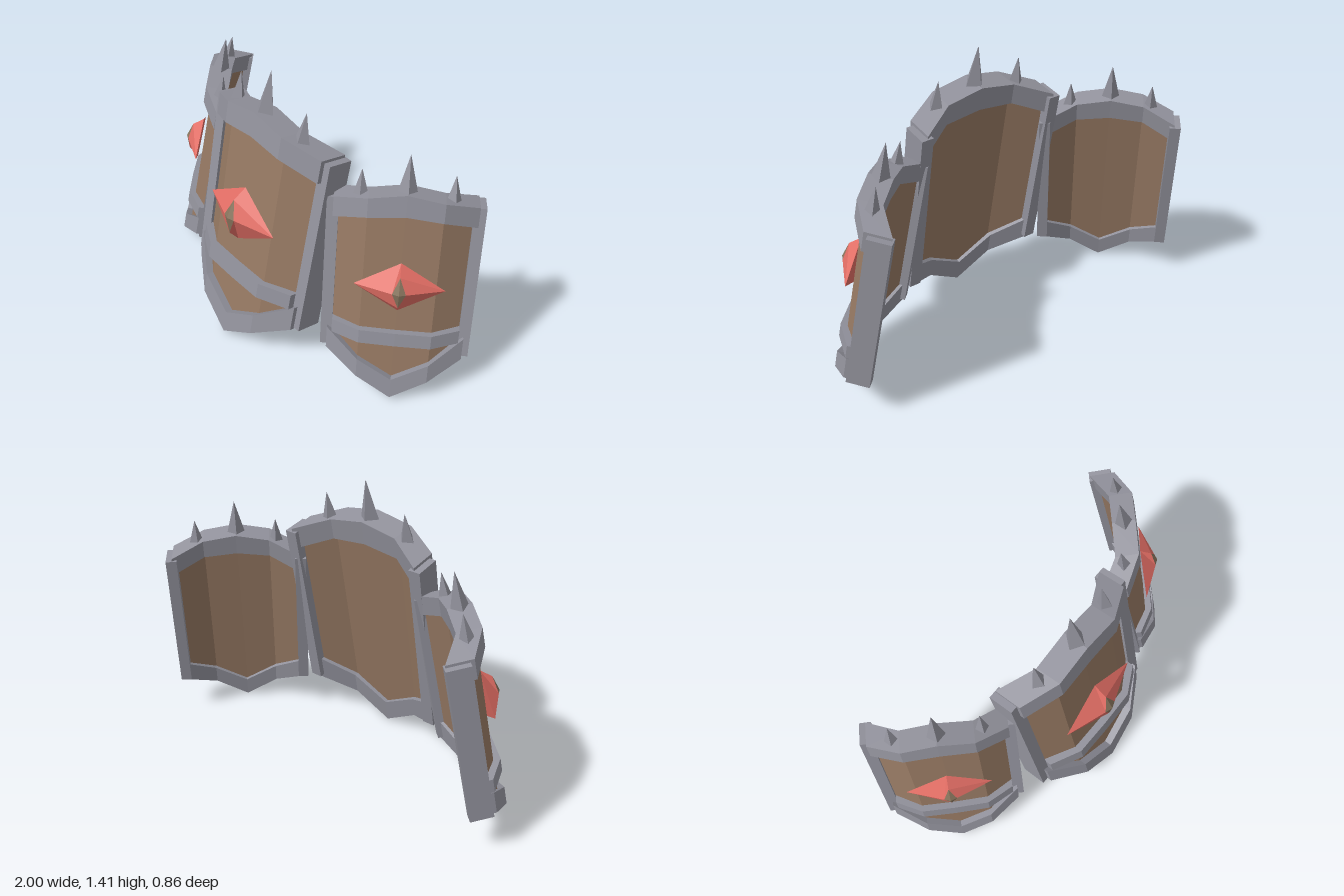
import * as THREE from 'three';

const mat = (name, color) => {
  const m = new THREE.MeshStandardMaterial({ color, flatShading: true });
  m.name = name;
  return m;
};

// Flat-shaded geometry from corner points and polygons (fans)
function facets(points, polygons) {
  const pos = [];
  for (const p of polygons)
    for (let i = 1; i < p.length - 1; i++)
      pos.push(...points[p[0]], ...points[p[i]], ...points[p[i + 1]]);
  const g = new THREE.BufferGeometry();
  g.setAttribute('position', new THREE.Float32BufferAttribute(pos, 3));
  g.computeVertexNormals();
  return g;
}

// Bent slab, mirrored in x. Each column, centre to edge: [x, yLow, yHigh, zFront, zBack]
function bentSlab(half) {
  const cols = [...half.slice(1).reverse().map(([x, ...r]) => [-x, ...r]), ...half];
  const points = cols.flatMap(([x, lo, hi, f, b]) =>
    [[x, lo, f], [x, hi, f], [x, hi, b], [x, lo, b]]);
  const polys = [[0, 1, 2, 3]];
  const last = (cols.length - 1) * 4;
  for (let i = 0; i < last; i += 4)
    for (let j = 0; j < 4; j++) {
      const k = (j + 1) % 4;
      polys.push([i + j, i + 4 + j, i + 4 + k, i + k]);
    }
  polys.push([last + 3, last + 2, last + 1, last]);
  return facets(points, polys);
}

export function createModel() {
  const steel = mat('steel', 0x92929c);
  const wood = mat('wood', 0x957862);
  const red = mat('eyelid red', 0xdf6c63);
  const iris = mat('iris brown', 0x86735c);

  const panelGeo = bentSlab([
    [0, 0.02, 1.12, 0.39, 0.325], [0.19, 0.12, 1.09, 0.386, 0.322], [0.345, 0.24, 1.04, 0.295, 0.23]]);
  const topGeo = bentSlab([
    [0, 1.064, 1.184, 0.428, 0.298], [0.19, 1.044, 1.151, 0.424, 0.294], [0.365, 0.99, 1.102, 0.335, 0.195]]);
  const bottomGeo = bentSlab([
    [0, -0.05, 0.068, 0.428, 0.306], [0.19, 0.07, 0.18, 0.424, 0.3], [0.365, 0.18, 0.31, 0.335, 0.2]]);
  const bandGeo = bentSlab([
    [0, 0.29, 0.37, 0.428, 0.36], [0.19, 0.29, 0.37, 0.424, 0.355], [0.338, 0.29, 0.37, 0.345, 0.265]]);
  const railGeo = new THREE.BoxGeometry(0.062, 0.9, 0.126);

  // Eye: outer diamond rising to a narrow slit with a ridged iris
  const eyePoints = [
    [0.235, 0, 0], [0, 0.142, 0], [-0.235, 0, 0], [0, -0.142, 0],
    [0.035, 0, 0.075], [0, 0.09, 0.06], [-0.035, 0, 0.075], [0, -0.09, 0.06],
    [0, 0, 0.088]];
  const ring = [0, 1, 2, 3];
  const lidGeo = facets(eyePoints, [[3, 2, 1, 0],
    ...ring.flatMap(k => {
      const n = (k + 1) % 4;
      return [[k, n, n + 4], [k, n + 4, k + 4]];
    })]);
  const irisGeo = facets(eyePoints, ring.map(k => [8, k + 4, (k + 1) % 4 + 4]));

  function makeShield(name) {
    const shield = new THREE.Group();
    shield.name = name;
    const tilt = new THREE.Group();
    tilt.name = 'tiltedShield';
    tilt.rotation.x = -0.188;
    shield.add(tilt);
    const add = (part, geo, m, x = 0, y = 0, z = 0) => {
      const mesh = new THREE.Mesh(geo, m);
      mesh.name = part;
      mesh.position.set(x, y, z);
      tilt.add(mesh);
      return mesh;
    };
    add('woodPanel', panelGeo, wood);
    add('topTrim', topGeo, steel);
    add('bottomTrim', bottomGeo, steel);
    add('crossBand', bandGeo, steel);
    for (const s of [-1, 1]) add('sideRail', railGeo, steel, s * 0.369, 0.638, 0.251);
    add('eyelid', lidGeo, red, 0, 0.654, 0.416);
    add('iris', irisGeo, iris, 0, 0.654, 0.416);

    // Spikes along the top edge: [x, base, tip, radius, z]
    for (const [x, base, tip, r, z] of [
      [-0.23, 1.09, 1.27, 0.05, 0.335], [0, 1.14, 1.376, 0.058, 0.362], [0.23, 1.09, 1.27, 0.05, 0.335]]) {
      const spike = add('spike', new THREE.ConeGeometry(r, tip - base, 4), steel, x, (base + tip) / 2, z);
      spike.rotation.y = x * 0.8 + 0.1;
    }
    return shield;
  }

  const model = new THREE.Group();
  model.name = 'shieldWall';
  model.add(makeShield('centreShield'));

  // Smaller shields angled back on each side
  for (const s of [-1, 1]) {
    const side = makeShield(s > 0 ? 'leftShield' : 'rightShield');
    side.scale.setScalar(0.86);
    side.rotation.y = s * 0.75;
    side.position.set(s * 0.587, 0.005, -0.185);
    model.add(side);
  }
  return model;
}
